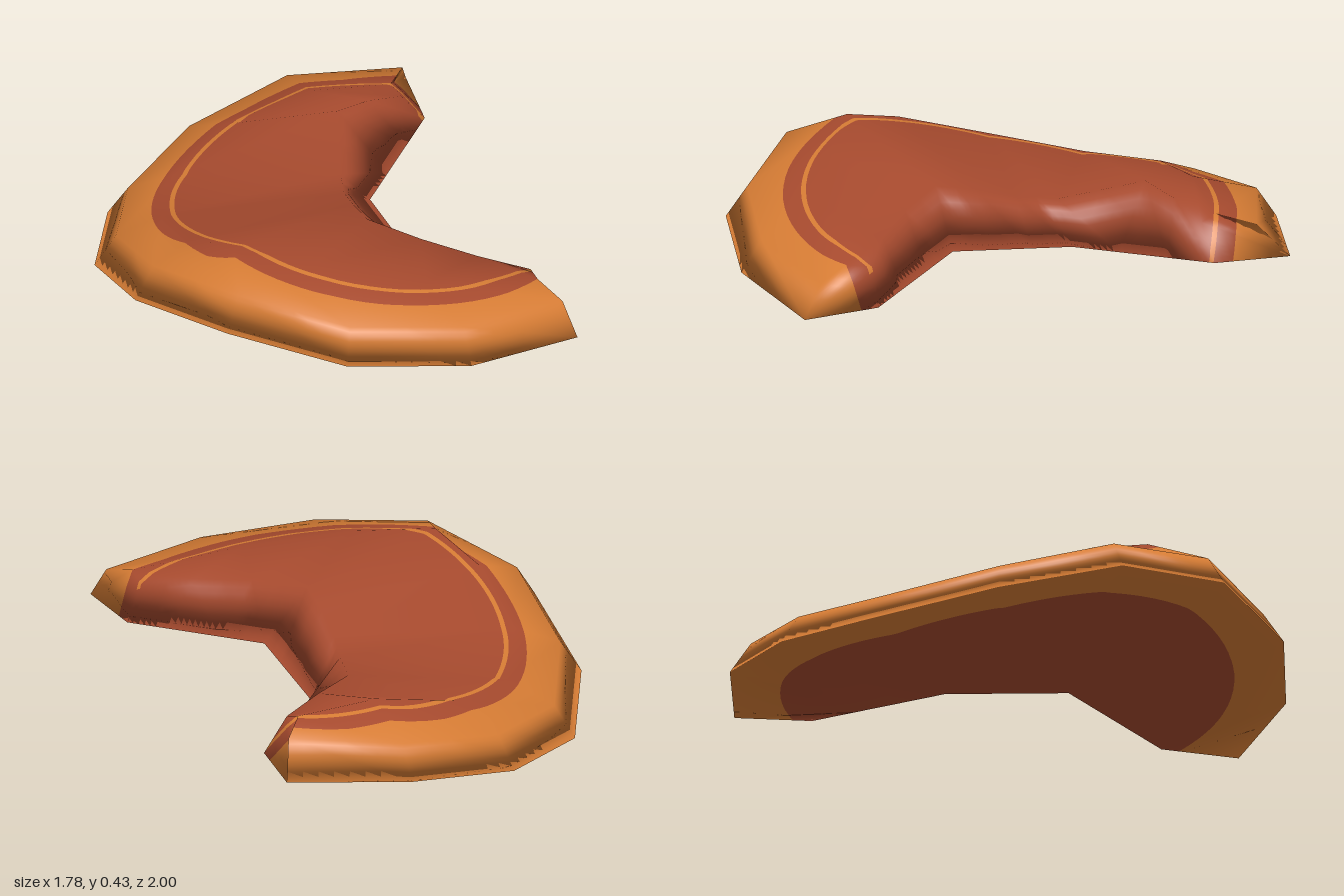
import * as THREE from 'three';

const CX = 0.1; // centre of the round colour bands
const V = (x, y, z) => new THREE.Vector3(x, y, z);

// Control points running from the back left tip round to the front tip
const rim = [[0.89, 0.14, -0.6], [0.55, 0.11, -0.89], [0.12, 0.04, -1], [-0.31, 0, -0.92], [-0.67, 0.065, -0.65],
  [-0.88, 0.185, -0.26], [-0.89, 0.245, 0.19], [-0.71, 0.2, 0.6], [-0.37, 0.165, 0.88], [0.05, 0.14, 1]];
const crest = [[0.66, 0.28, -0.46], [0.41, 0.305, -0.61], [0.12, 0.24, -0.75], [-0.2, 0.2, -0.7], [-0.48, 0.25, -0.5],
  [-0.64, 0.355, -0.21], [-0.67, 0.425, 0.02], [-0.52, 0.395, 0.27], [-0.27, 0.335, 0.57], [0.06, 0.292, 0.8]];
const innerTop = [[0.65, 0.26, -0.4], [0.5, 0.303, -0.42], [0.35, 0.325, -0.43], [0.13, 0.26, -0.21], [0.03, 0.275, -0.1],
  [-0.05, 0.315, 0.02], [-0.12, 0.345, 0.15], [-0.07, 0.33, 0.36], [0.01, 0.307, 0.56], [0.11, 0.275, 0.72]];
const notch = [V(0.74, 0.14, -0.37), V(0.24, 0.12, -0.17), V(0.03, 0.16, 0.22), V(0.16, 0.14, 0.74)];

// Closed cross-section: rim, shoulder, crest, inner top, inner bottom
function crossSection(i) {
  const p = V(...rim[i]);
  const seg = Math.min(Math.floor(i / 3), 2);
  const inner = notch[seg].clone().lerp(notch[seg + 1], i / 3 - seg);
  const k = i === 0 ? 0.88 : 0.925;
  const shoulder = V(CX + (p.x - CX) * k, p.y + 0.117, p.z * k);
  return [p, shoulder, V(...crest[i]), V(...innerTop[i]), inner];
}

// Smooth closed shell lofted through the cross-sections
function shell() {
  const pos = [], idx = [], n = 5, last = rim.length - 1;
  for (let i = 0; i <= last; i++) crossSection(i).forEach(p => pos.push(p.x, p.y, p.z));
  for (let i = 0; i < last; i++) {
    for (let j = 0; j < n; j++) {
      const a = i * n + j, b = i * n + (j + 1) % n;
      idx.push(a, a + n, b, b, a + n, b + n);
    }
  }
  for (let j = 1; j < n - 1; j++) {
    idx.push(0, j, j + 1);
    idx.push(last * n, last * n + j + 1, last * n + j);
  }
  const g = new THREE.BufferGeometry();
  g.setAttribute('position', new THREE.Float32BufferAttribute(pos, 3));
  g.setIndex(idx);
  g.computeVertexNormals();
  return g;
}

const point = (p, n) => ({ p, n, r: Math.hypot(p.x - CX, p.z) });
const mix = (a, b, t) => point(a.p.clone().lerp(b.p, t), a.n.clone().lerp(b.n, t).normalize());

// Part of a polygon lying inside (sign 1) or outside (sign -1) a radius
function clip(poly, radius, sign) {
  const out = [];
  poly.forEach((a, i) => {
    const b = poly[(i + 1) % poly.length];
    const da = (radius - a.r) * sign, db = (radius - b.r) * sign;
    if (da >= 0) out.push(a);
    if (da * db < 0) out.push(mix(a, b, da / (da - db)));
  });
  return out;
}

// Cuts the shell into concentric bands, from the outside in
function bands(geometry, radii) {
  const buckets = [...radii, 0].map(() => ({ pos: [], nor: [] }));
  const P = geometry.attributes.position, N = geometry.attributes.normal, I = geometry.index;
  const corner = k => point(V(0, 0, 0).fromBufferAttribute(P, I.getX(k)), V(0, 0, 0).fromBufferAttribute(N, I.getX(k)));
  const emit = (poly, bucket) => {
    for (let k = 1; k < poly.length - 1; k++) {
      for (const c of [poly[0], poly[k], poly[k + 1]]) {
        bucket.pos.push(c.p.x, c.p.y, c.p.z);
        bucket.nor.push(c.n.x, c.n.y, c.n.z);
      }
    }
  };
  const split = poly => {
    // the thin ring (band 2) only marks the upper side
    const upper = poly[0].n.y + poly[1].n.y + poly[2].n.y > 0.75;
    radii.forEach((r, k) => {
      emit(clip(poly, r, -1), buckets[k === 2 && !upper ? 1 : k]);
      poly = clip(poly, r, 1);
    });
    emit(poly, buckets[radii.length]);
  };
  const refine = (a, b, c, depth) => {
    if (!depth) return split([a, b, c]);
    const ab = mix(a, b, 0.5), bc = mix(b, c, 0.5), ca = mix(c, a, 0.5);
    [[a, ab, ca], [ab, b, bc], [ca, bc, c], [ab, bc, ca]].forEach(t => refine(...t, depth - 1));
  };
  for (let k = 0; k < I.count; k += 3) refine(corner(k), corner(k + 1), corner(k + 2), 3);
  return buckets.map(({ pos, nor }) => {
    const g = new THREE.BufferGeometry();
    g.setAttribute('position', new THREE.Float32BufferAttribute(pos, 3));
    g.setAttribute('normal', new THREE.Float32BufferAttribute(nor, 3));
    return g;
  });
}

export function createModel() {
  const orange = new THREE.MeshStandardMaterial({ color: 0xd67c34 });
  orange.name = 'orange';
  const rust = new THREE.MeshStandardMaterial({ color: 0xa64a2e });
  rust.name = 'rust red';
  const group = new THREE.Group();
  group.name = 'bracketCap';
  const parts = [['outerRim', orange], ['outerBand', rust], ['thinRing', orange], ['innerCap', rust]];
  bands(shell(), [0.8, 0.736, 0.719]).forEach((g, i) => {
    const mesh = new THREE.Mesh(g, parts[i][1]);
    mesh.name = parts[i][0];
    group.add(mesh);
  });
  return group;
}
